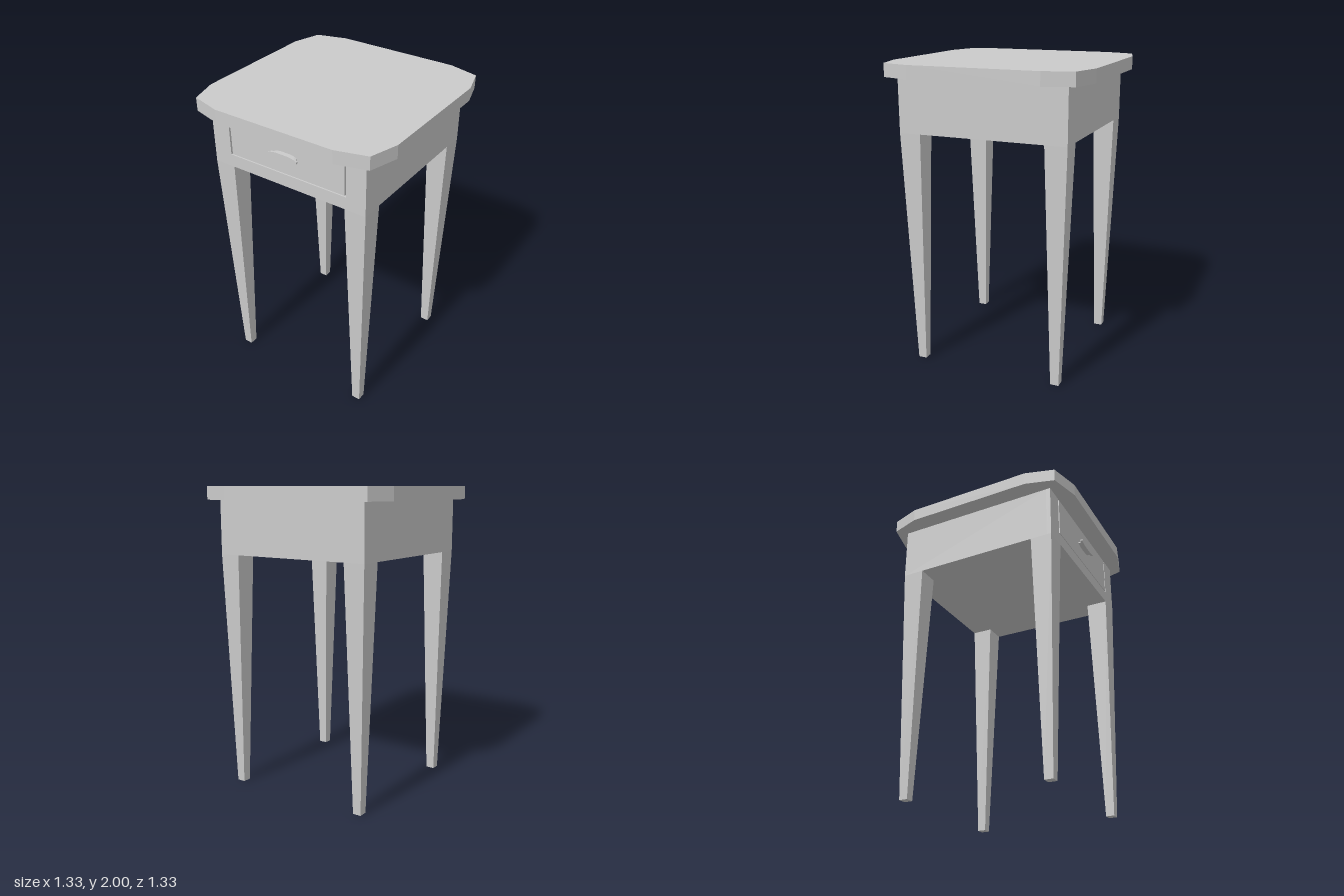
import * as THREE from 'three';

const material = new THREE.MeshStandardMaterial({ color: 0xcccccc, flatShading: true });

export function createModel() {
  const group = new THREE.Group();
  const add = (name, geometry, x = 0, y = 0, z = 0) => {
    const mesh = new THREE.Mesh(geometry, material);
    mesh.name = name;
    mesh.position.set(x, y, z);
    group.add(mesh);
    return mesh;
  };
  const extrude = (points, depth) => new THREE.ExtrudeGeometry(
    new THREE.Shape(points.map(([x, y]) => new THREE.Vector2(x, y))),
    { depth, bevelEnabled: false });

  const bottom = 1.565, top = 1.915, half = 0.553, groove = 0.03;

  // Table top with two-step clipped corners
  const corner = [[0.665, 0.425], [0.61, 0.612], [0.41, 0.667]];
  const outline = [];
  for (const [sx, sz] of [[1, 1], [-1, 1], [-1, -1], [1, -1]]) {
    const pts = corner.map(([x, z]) => [x * sx, z * sz]);
    outline.push(...(sx * sz > 0 ? pts : pts.reverse()));
  }
  add('tableTop', extrude(outline, 2 - top).rotateX(-Math.PI / 2), 0, top, 0);

  // Solid case behind the front frame
  add('case', new THREE.BoxGeometry(half * 2, top - bottom, half * 2 - groove),
    0, (top + bottom) / 2, -groove / 2);

  // Front frame, notched for the drawer
  add('frontFrame', extrude([
    [-half, bottom], [half, bottom], [half, top], [0.42, top],
    [0.42, 1.647], [-0.425, 1.647], [-0.425, top], [-half, top],
  ], groove), 0, 0, half - groove);

  // Drawer front, set flush with a narrow gap around it
  add('drawerFront', extrude([
    [-0.412, 1.654], [0.411, 1.654], [0.411, top], [-0.412, top],
  ], groove), 0, 0, half - groove);

  // Drawer pull: narrow neck and elongated faceted knob
  const pull = (s, depth) => extrude([
    [0.105, -0.005], [0.105, 0.005], [0.085, 0.016], [0.045, 0.023],
    [-0.045, 0.023], [-0.085, 0.016], [-0.105, 0.005], [-0.105, -0.005],
    [-0.085, -0.016], [-0.045, -0.023], [0.045, -0.023], [0.085, -0.016],
  ].map(([x, y]) => [x * s, y * s]), depth);
  add('drawerPullNeck', pull(0.8, 0.025), 0, 1.778, half);
  add('drawerPull', pull(1, 0.014), 0, 1.778, half + 0.022);

  // Four square legs tapering on all sides
  for (const sx of [-1, 1]) for (const sz of [-1, 1]) {
    const leg = new THREE.BoxGeometry(1, bottom, 1);
    const p = leg.attributes.position;
    for (let i = 0; i < p.count; i++) {
      const [inner, outer] = p.getY(i) > 0 ? [0.41, half] : [0.452, 0.508];
      const place = (v, s) => s * (v * s > 0 ? outer : inner);
      p.setX(i, place(p.getX(i), sx));
      p.setZ(i, place(p.getZ(i), sz));
    }
    leg.computeVertexNormals();
    add(`${sz > 0 ? 'front' : 'back'}${sx > 0 ? 'Left' : 'Right'}Leg`, leg, 0, bottom / 2, 0);
  }
  return group;
}
